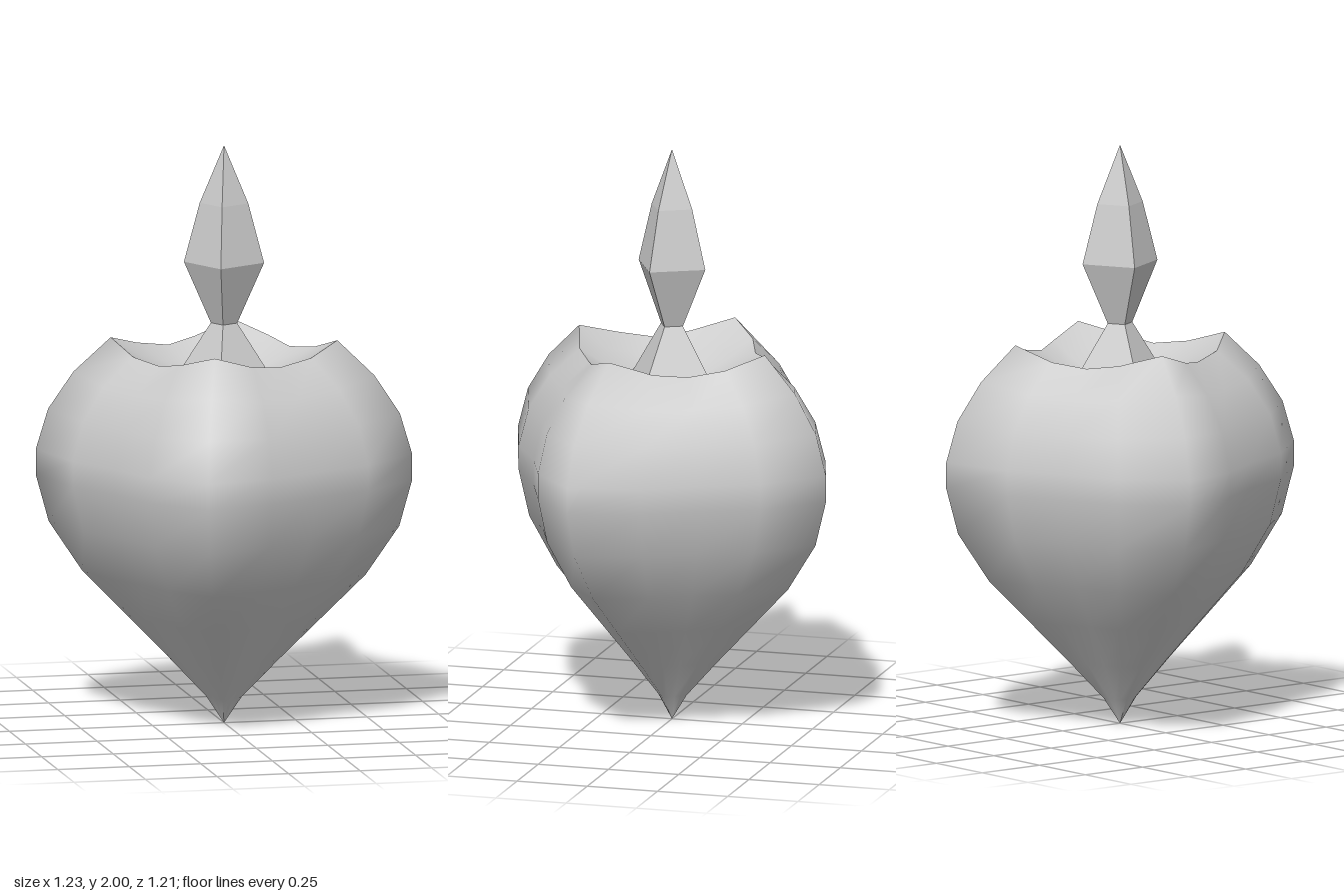
import * as THREE from 'three';

const TURN = THREE.MathUtils.degToRad(17.2); // angle of the first corner
const WAVE = [1, 0.86, 0.757, 0.84];         // corner, side, hollow, side
const DIP = [0, 0.04, 0.06, 0.045];          // how far the rim sags at each

// Skin over closed rings; every ring is a function of the angle step
function skin(rings, sides, point) {
  const pos = [], index = [];
  rings.forEach((ring) => {
    for (let i = 0; i < sides; i++) pos.push(...point(ring, i));
  });
  for (let j = 0; j < rings.length - 1; j++) {
    for (let i = 0; i < sides; i++) {
      const n = (i + 1) % sides;
      const a = j * sides + i, b = j * sides + n;
      const c = a + sides, d = b + sides;
      if (rings[j][0] > 0) index.push(a, c, b);
      if (rings[j + 1][0] > 0) index.push(b, c, d);
    }
  }
  const geo = new THREE.BufferGeometry();
  geo.setAttribute('position', new THREE.Float32BufferAttribute(pos, 3));
  geo.setIndex(index);
  geo.computeVertexNormals();
  return geo;
}

// Wavy four-cornered ring point: [corner radius, height, share of the rim dip]
function budPoint([r, y, dip], i) {
  const a = TURN + (i / 16) * Math.PI * 2;
  const s = r * WAVE[i % 4];
  return [s * Math.cos(a), y - DIP[i % 4] * dip, s * Math.sin(a) * 0.985];
}

// Plain square ring point
function squarePoint([r, y], i) {
  const a = TURN + (i / 4) * Math.PI * 2;
  return [r * Math.cos(a), y, r * Math.sin(a)];
}

export function createModel() {
  const group = new THREE.Group();
  const grey = new THREE.MeshStandardMaterial({ color: 0xcccccc });
  grey.name = 'light grey';
  const add = (name, geo) => {
    const mesh = new THREE.Mesh(geo, grey);
    mesh.name = name;
    group.add(mesh);
  };

  // Pointed, swelling outer shell
  const shell = [
    [0, 0], [0.06, 0.09], [0.185, 0.22], [0.335, 0.37], [0.485, 0.52],
    [0.6, 0.69], [0.644, 0.85], [0.644, 0.94], [0.602, 1.08], [0.515, 1.21], [0.388, 1.33],
  ].map(([r, y]) => [r, y, (y / 1.33) ** 6]);
  add('outerShell', skin(shell, 16, budPoint));

  // Shallow bowl inside the rim
  const bowl = [[0.388, 1.33, 1], [0.28, 1.265, 0.7], [0.165, 1.205, 0.35], [0.08, 1.17, 0.1], [0, 1.155, 0]];
  add('innerBowl', skin(bowl, 16, budPoint));

  // Faceted four-sided spire with a flared foot
  const spire = [[0.2, 1.14], [0.045, 1.385], [0.137, 1.595], [0.083, 1.8], [0, 2]];
  const spireGeo = skin(spire, 4, squarePoint).toNonIndexed();
  spireGeo.computeVertexNormals();
  add('spire', spireGeo);

  return group;
}
